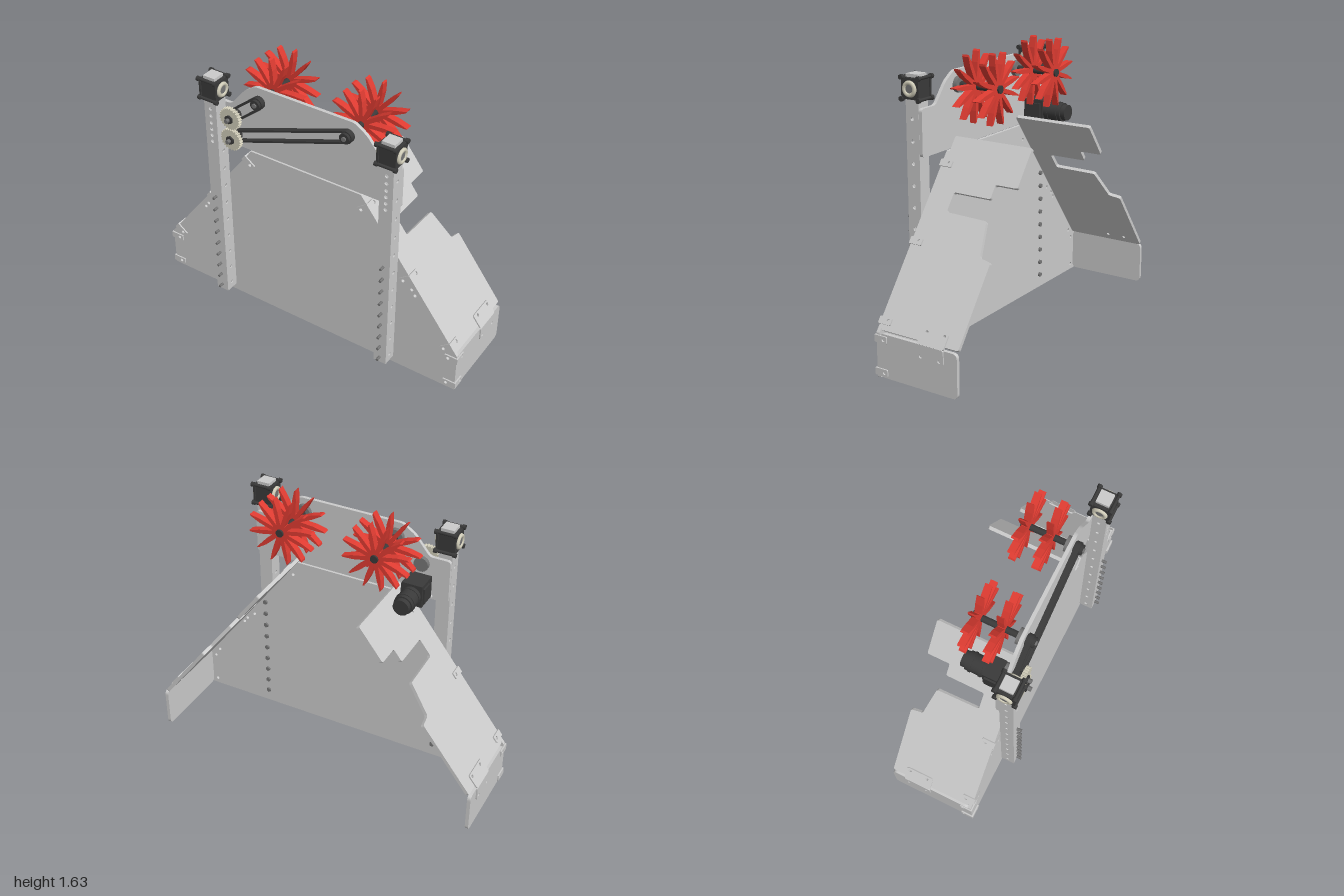
import * as THREE from 'three';

const paint = (color) => new THREE.MeshStandardMaterial({ color });
const GREY = paint(0xcccccc), DARK = paint(0x3a3a3a), STEEL = paint(0x777777);
const RED = paint(0xe03c32), CREAM = paint(0xd2ceba);

function add(parent, name, geo, mat, x = 0, y = 0, z = 0) {
  const m = new THREE.Mesh(geo, mat);
  m.name = name;
  m.position.set(x, y, z);
  parent.add(m);
  return m;
}

const box = (w, h, d) => new THREE.BoxGeometry(w, h, d);
const rodZ = (r, len, sides = 20) => new THREE.CylinderGeometry(r, r, len, sides).rotateX(Math.PI / 2);
const rodX = (r, len, sides = 20) => new THREE.CylinderGeometry(r, r, len, sides).rotateZ(Math.PI / 2);

// Sheet with softened corners and round holes [x, y, r], from z = 0 to z = t
function sheet(pts, t, holes = [], r = 0.012) {
  const v = pts.map(([x, y]) => new THREE.Vector2(x, y));
  const shape = new THREE.Shape();
  v.forEach((p, i) => {
    const a = v[(i + v.length - 1) % v.length], b = v[(i + 1) % v.length];
    const toward = (q) => p.clone().lerp(q, Math.min(0.4, r / p.distanceTo(q)));
    const s = toward(a), e = toward(b);
    if (i) shape.lineTo(s.x, s.y); else shape.moveTo(s.x, s.y);
    shape.quadraticCurveTo(p.x, p.y, e.x, e.y);
  });
  for (const [x, y, hr] of holes) {
    shape.holes.push(new THREE.Path().absarc(x, y, hr, 0, Math.PI * 2, true));
  }
  return new THREE.ExtrudeGeometry(shape, { depth: t, bevelEnabled: false, curveSegments: 8 });
}
const rect = (x0, y0, x1, y1) => [[x0, y0], [x1, y0], [x1, y1], [x0, y1]];

// Slanted edge of the main plate, right-hand case; u runs up the slope
const FOOT = new THREE.Vector2(0.99, 0.25);
const SLOPE = new THREE.Vector2(-0.64, 0.84).normalize();
const TILT = Math.atan2(-SLOPE.x, SLOPE.y);
const uAt = (y) => (y - FOOT.y) / SLOPE.y;

// Sheet drawn in (z, u) and laid on the slope of side s, filling inward from offset
function slopeSheet(parent, name, pts, t, s, holes, offset = 0) {
  const geo = sheet(pts, t, holes).translate(0, 0, s > 0 ? offset : -offset - t);
  const m = add(parent, name, geo, GREY);
  const up = new THREE.Vector3(s * SLOPE.x, SLOPE.y, 0), along = new THREE.Vector3(0, 0, 1);
  m.quaternion.setFromRotationMatrix(new THREE.Matrix4().makeBasis(along, up, along.clone().cross(up)));
  m.position.set(s * FOOT.x, FOOT.y, 0);
}

// L-shaped tab wrapping the front plate and a side panel
function tab(parent, x, y, tilt, s) {
  const g = new THREE.Group();
  g.name = 'cornerTab';
  g.position.set(s * x, y, 0);
  g.rotation.z = s * tilt;
  const [a, b] = [-s * 0.075, s * 0.008].sort((p, q) => p - q);
  add(g, 'tabFront', sheet(rect(a, -0.02, b, 0.02), 0.008, [[-s * 0.05, 0, 0.01]], 0.006), GREY, 0, 0, 0.2);
  const side = add(g, 'tabSide', sheet(rect(-0.208, -0.02, -0.13, 0.02), 0.008, [[-0.15, 0, 0.01]], 0.006), GREY);
  side.rotation.y = Math.PI / 2;
  side.position.x = s > 0 ? 0 : -0.008;
  parent.add(g);
}

// Closed belt around two equal pulleys
function belt(parent, p, q, r) {
  const len = Math.hypot(q[0] - p[0], q[1] - p[1]);
  const loop = (C, rad) => {
    const c = new C();
    c.absarc(len, 0, rad, -Math.PI / 2, Math.PI / 2, false);
    c.absarc(0, 0, rad, Math.PI / 2, Math.PI * 1.5, false);
    c.closePath();
    return c;
  };
  const s = loop(THREE.Shape, r);
  s.holes.push(loop(THREE.Path, r - 0.011));
  const geo = new THREE.ExtrudeGeometry(s, { depth: 0.03, bevelEnabled: false, curveSegments: 16 });
  add(parent, 'belt', geo, DARK, p[0], p[1], 0.205).rotation.z = Math.atan2(q[1] - p[1], q[0] - p[0]);
}

// Ring outline sampled from radius(i), used for gears and spiked wheels
function radial(n, point, depth, hole) {
  const s = new THREE.Shape(Array.from({ length: n }, (_, i) => new THREE.Vector2(...point(i))));
  s.holes.push(new THREE.Path().absarc(0, 0, hole, 0, Math.PI * 2, true));
  return new THREE.ExtrudeGeometry(s, { depth, bevelEnabled: false, curveSegments: 10 });
}
const polar = (r, a) => [r * Math.cos(a), r * Math.sin(a)];

export function createModel() {
  const root = new THREE.Group();
  root.name = 'rollerIntake';
  const tabYs = [0.305, 0.66, 1.02];
  const boltYs = Array.from({ length: 9 }, (_, i) => 0.082 + i * 0.0825);

  // Main trapezoid plate with tab holes
  const holes = [];
  for (const s of [-1, 1]) {
    for (const y of tabYs) {
      const u = uAt(y);
      holes.push([s * (FOOT.x + SLOPE.x * u - 0.05 * SLOPE.y), y + 0.05 * SLOPE.x, 0.01]);
    }
    holes.push([s * 0.94, 0.22, 0.01], [s * 0.94, 0.035, 0.01], [s * 0.69, 0.585, 0.01], [s * 0.712, 0.553, 0.01]);
  }
  const edgeTop = FOOT.x + SLOPE.x * uAt(1.08);
  add(root, 'mainPlate', sheet([[-0.99, 0], [0.99, 0], [0.99, 0.25], [edgeTop, 1.08],
    [-edgeTop, 1.08], [-0.99, 0.25]], 0.02, holes, 0.005), GREY, 0, 0, 0.18);

  // Upper drive plate with sloped shoulders
  add(root, 'upperPlate', sheet([[-0.595, 1.09], [0.595, 1.09], [0.595, 1.35], [0.475, 1.35], [0.385, 1.46], [0.31, 1.51],
    [-0.31, 1.51], [-0.385, 1.46], [-0.475, 1.35], [-0.595, 1.35]], 0.02, [[-0.495, 1.11, 0.01]], 0.02), GREY, 0, 0, 0.18);

  for (const s of [-1, 1]) {
    // Slanted guide panel with its notch
    const outline = [[0.18, 0.265], [-0.31, 0.265], [-0.31, 0.64], [-0.24, 0.65], [-0.2, 0.805], [0.055, 0.81],
      [0.055, 0.9], [-0.175, 0.9], [-0.175, 0.965], [-0.31, 0.965], [-0.31, 1.15], [0.18, 1.15]];
    // reversed so the outline runs counter-clockwise in (z, u)
    slopeSheet(root, 'guidePanel', outline.map(([z, y]) => [z, uAt(y)]).reverse(), 0.02, s,
      [[-0.1, uAt(0.305), 0.009], [-0.21, uAt(0.305), 0.009]]);

    // Low side panel and the bent bracket joining it to the guide panel
    const side = add(root, 'sidePanel', sheet(rect(-0.18, 0.005, 0.31, 0.25), 0.02, [], 0.03), GREY);
    side.rotation.y = Math.PI / 2;
    side.position.x = s > 0 ? 0.97 : -0.99;
    const lower = add(root, 'bentBracketLower', sheet(rect(0.065, 0.17, 0.23, 0.254), 0.008,
      [[0.09, 0.19, 0.01], [0.205, 0.19, 0.01]]), GREY);
    lower.rotation.y = Math.PI / 2;
    lower.position.x = s > 0 ? 0.99 : -0.998;
    slopeSheet(root, 'bentBracketUpper', rect(-0.23, 0, -0.065, uAt(0.32)), 0.008, s,
      [[-0.1, uAt(0.305), 0.009], [-0.21, uAt(0.305), 0.009]], -0.008);

    for (const y of tabYs) tab(root, FOOT.x + SLOPE.x * uAt(y), y, TILT, s);
    for (const y of [0.035, 0.22]) tab(root, 0.99, y, 0, s);

    // Square tube post with drilled walls
    const post = new THREE.Group();
    post.name = 'post';
    post.position.x = s * 0.556;
    const faceHoles = [1.12, 1.16, 1.2, 1.24, 1.285, 1.33].map((y) => [0, y, 0.011]);
    const sideHoles = Array.from({ length: 11 }, (_, i) => [0, 0.09 + 0.12 * i, 0.011]);
    const wall = (hs) => sheet(rect(-0.04, 0.045, 0.04, 1.5), 0.008, hs, 0.001);
    add(post, 'postFront', wall(faceHoles), GREY, 0, 0, 0.275);
    add(post, 'postBack', wall(faceHoles), GREY, 0, 0, 0.2);
    for (const x of [-0.04, 0.032]) add(post, 'postSide', wall(sideHoles), GREY, x, 0, 0.242).rotation.y = Math.PI / 2;
    for (const y of boltYs) {
      add(post, 'bolt', rodZ(0.008, 0.135, 10), STEEL, 0, y, 0.245);
      add(post, 'boltHead', rodZ(0.014, 0.012, 6), STEEL, 0, y, 0.174);
    }
    root.add(post);

    // Bearing block on top of the post
    const block = new THREE.Group();
    block.name = 'bearingBlock';
    block.position.set(s * 0.556, 1.452, 0.242);
    add(block, 'blockCore', box(0.096, 0.115, 0.1), DARK);
    add(block, 'blockCap', box(0.076, 0.15, 0.076), GREY);
    for (const x of [-0.05, 0.05]) add(block, 'blockCheek', box(0.012, 0.112, 0.112), DARK, x);
    for (const y of [-0.057, 0.057]) for (const z of [-0.055, 0.055]) {
      add(block, 'cornerRod', rodX(0.009, 0.12, 10), DARK, 0, y, z);
      for (const x of [-0.055, 0.055]) add(block, 'rodHead', rodX(0.014, 0.018, 10), DARK, x, y, z);
    }
    for (const x of [-0.058, 0.058]) {
      add(block, 'bearing', new THREE.TorusGeometry(0.033, 0.012, 8, 24).rotateY(Math.PI / 2), CREAM, x);
      add(block, 'bearingCore', rodX(0.022, 0.01), STEEL, x);
    }
    root.add(block);

    // Spiked wheels on their shaft
    const roller = new THREE.Group();
    roller.name = 'roller';
    roller.position.set(s * 0.28, 1.43, 0);
    add(roller, 'shaft', rodZ(0.018, 0.35), DARK, 0, 0, 0.075);
    add(roller, 'shaftPulley', rodZ(0.03, 0.05), DARK, 0, 0, 0.225);
    add(roller, 'shaftBearing', rodZ(0.045, 0.025), STEEL, 0, 0, 0.168);
    add(roller, 'shaftEnd', rodZ(0.014, 0.02, 6), STEEL, 0, 0, 0.248);
    add(roller, 'shaftCollar', rodZ(0.022, 0.012), DARK, 0, 0, -0.095);
    const spike = [[0.05, -0.24], [0.13, -0.09], [0.188, -0.015], [0.197, 0.025], [0.13, 0.09], [0.05, 0.24]];
    const wheel = radial(72, (i) => polar(spike[i % 6][0], spike[i % 6][1] + Math.floor(i / 6) * Math.PI / 6), 0.04, 0.016);
    [0.047, -0.09].forEach((z, i) => {
      add(roller, 'spikedWheel', wheel, RED, 0, 0, z).rotation.z = 0.08 + i * 0.24;
    });
    root.add(roller);
  }

  // Gear pair, pulleys and belts
  const gearX = -0.435;
  const gear = radial(96, (i) => polar(i % 4 < 2 ? 0.067 : 0.06, i * Math.PI / 48), 0.025, 0.014);
  for (const y of [1.303, 1.17]) {
    add(root, 'gear', gear, CREAM, gearX, y, 0.25).rotation.z = y > 1.2 ? 0.13 : 0;
    add(root, 'gearHub', rodZ(0.026, 0.012, 6), DARK, gearX, y, 0.28);
    add(root, 'gearShaft', rodZ(0.013, 0.15, 6), STEEL, gearX, y, 0.232);
    add(root, 'gearPulley', rodZ(0.026, 0.05), DARK, gearX, y, 0.225);
    add(root, 'gearBearing', rodZ(0.042, 0.025), STEEL, gearX, y, 0.168);
  }
  belt(root, [gearX, 1.303], [-0.28, 1.43], 0.037);
  belt(root, [gearX, 1.17], [0.28, 1.43], 0.037);

  // Motor with gearbox behind the lower gear
  add(root, 'gearbox', box(0.12, 0.13, 0.125), DARK, gearX, 1.172, 0.115);
  add(root, 'gearboxStep', box(0.14, 0.09, 0.07), DARK, gearX, 1.172, 0.1);
  add(root, 'motor', rodZ(0.054, 0.115, 28), DARK, gearX, 1.17, 0);
  add(root, 'motorCap', rodZ(0.046, 0.03, 28), DARK, gearX, 1.17, -0.07);
  for (const z of [0.03, -0.03]) add(root, 'motorBand', rodZ(0.058, 0.012, 28), DARK, gearX, 1.17, z);
  return root;
}
